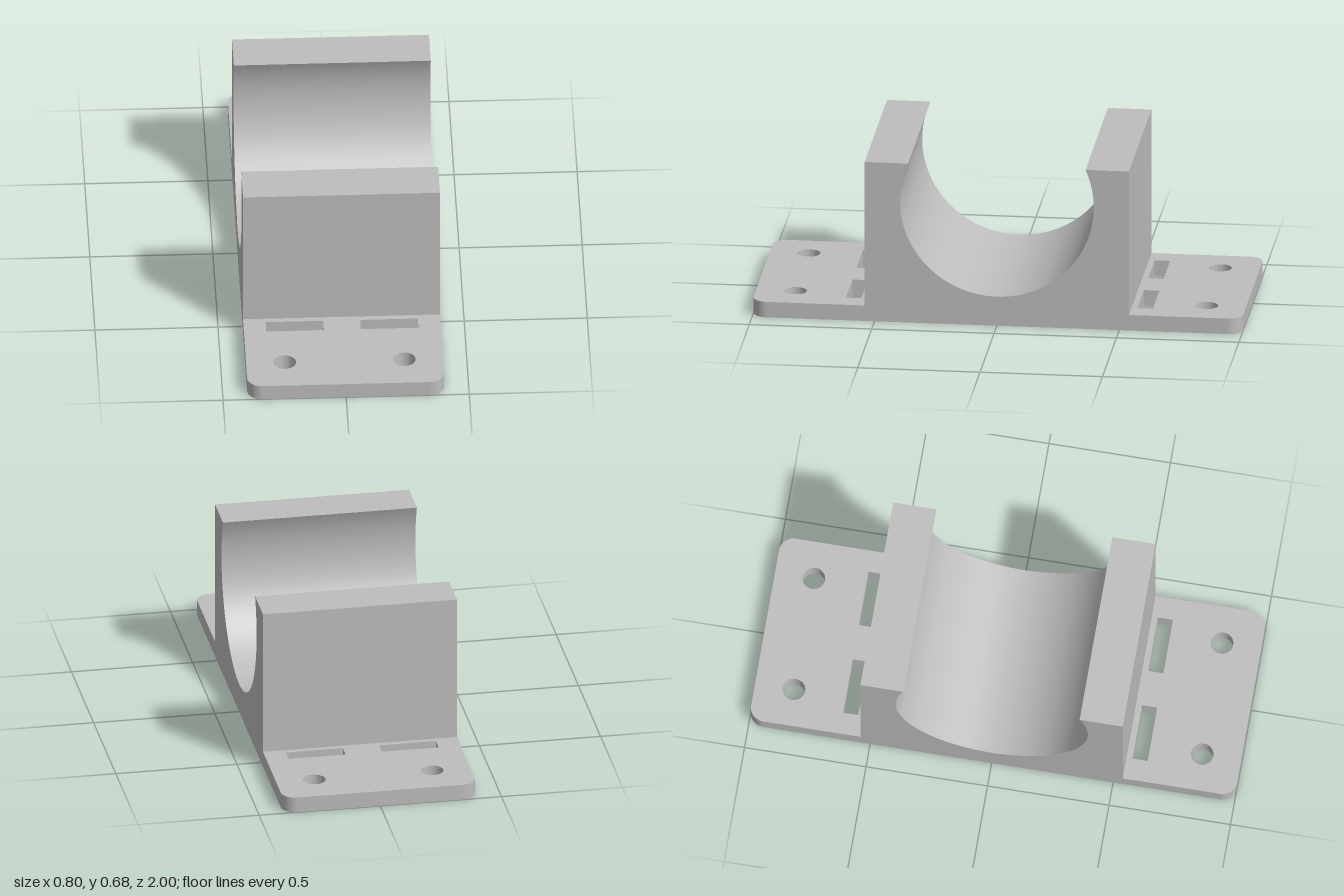
import * as THREE from 'three';
import { toCreasedNormals } from 'three/addons/utils/BufferGeometryUtils.js';

const HALF_W = 0.4, BLOCK_Z = 0.54, TOP = 0.68, PLATE = 0.066;
const BORE_R = 0.396, BORE_Y = 0.52, CORNER = 0.06;

function extrude(shape, depth) {
  return new THREE.ExtrudeGeometry(shape, { depth, bevelEnabled: false, curveSegments: 48 });
}

// Block with an open-topped round bore, drawn in the z-y plane
function saddleGeometry() {
  const a = Math.asin((TOP - BORE_Y) / BORE_R);
  const s = new THREE.Shape();
  s.moveTo(-BLOCK_Z, 0);
  s.lineTo(BLOCK_Z, 0);
  s.lineTo(BLOCK_Z, TOP);
  s.lineTo(BORE_R * Math.cos(a), TOP);
  s.absarc(0, BORE_Y, BORE_R, a, -Math.PI - a, true);
  s.lineTo(-BLOCK_Z, TOP);
  s.closePath();
  const g = extrude(s, HALF_W * 2);
  g.translate(0, 0, -HALF_W);
  g.rotateY(-Math.PI / 2);
  return toCreasedNormals(g, 0.5);
}

// Mounting flange with rounded outer corners, two screw holes and two strap slots
function flangeGeometry() {
  const s = new THREE.Shape();
  s.moveTo(-HALF_W, BLOCK_Z);
  s.lineTo(HALF_W, BLOCK_Z);
  s.lineTo(HALF_W, 1 - CORNER);
  s.absarc(HALF_W - CORNER, 1 - CORNER, CORNER, 0, Math.PI / 2, false);
  s.lineTo(-HALF_W + CORNER, 1);
  s.absarc(-HALF_W + CORNER, 1 - CORNER, CORNER, Math.PI / 2, Math.PI, false);
  s.closePath();
  for (const side of [-1, 1]) {
    const hole = new THREE.Path();
    hole.absarc(side * 0.243, 0.84, 0.046, 0, Math.PI * 2, true);
    const x = side * 0.192, w = 0.117;
    const slot = new THREE.Path([
      [x - w, 0.564], [x - w, 0.627], [x + w, 0.627], [x + w, 0.564],
    ].map(([px, py]) => new THREE.Vector2(px, py)));
    slot.closePath();
    s.holes.push(hole, slot);
  }
  const g = extrude(s, PLATE);
  g.rotateX(Math.PI / 2);
  g.translate(0, PLATE, 0);
  return toCreasedNormals(g, 0.5);
}

export function createModel() {
  const group = new THREE.Group();
  group.name = 'pipeSaddleBracket';
  const grey = new THREE.MeshStandardMaterial({ color: 0xbebebe });
  grey.name = 'light grey';

  const saddle = new THREE.Mesh(saddleGeometry(), grey);
  saddle.name = 'saddleBlock';
  group.add(saddle);

  // Matching flanges front and back
  const geometry = flangeGeometry();
  ['frontFlange', 'backFlange'].forEach((name, i) => {
    const flange = new THREE.Mesh(geometry, grey);
    flange.name = name;
    flange.rotation.y = i * Math.PI;
    group.add(flange);
  });
  return group;
}
